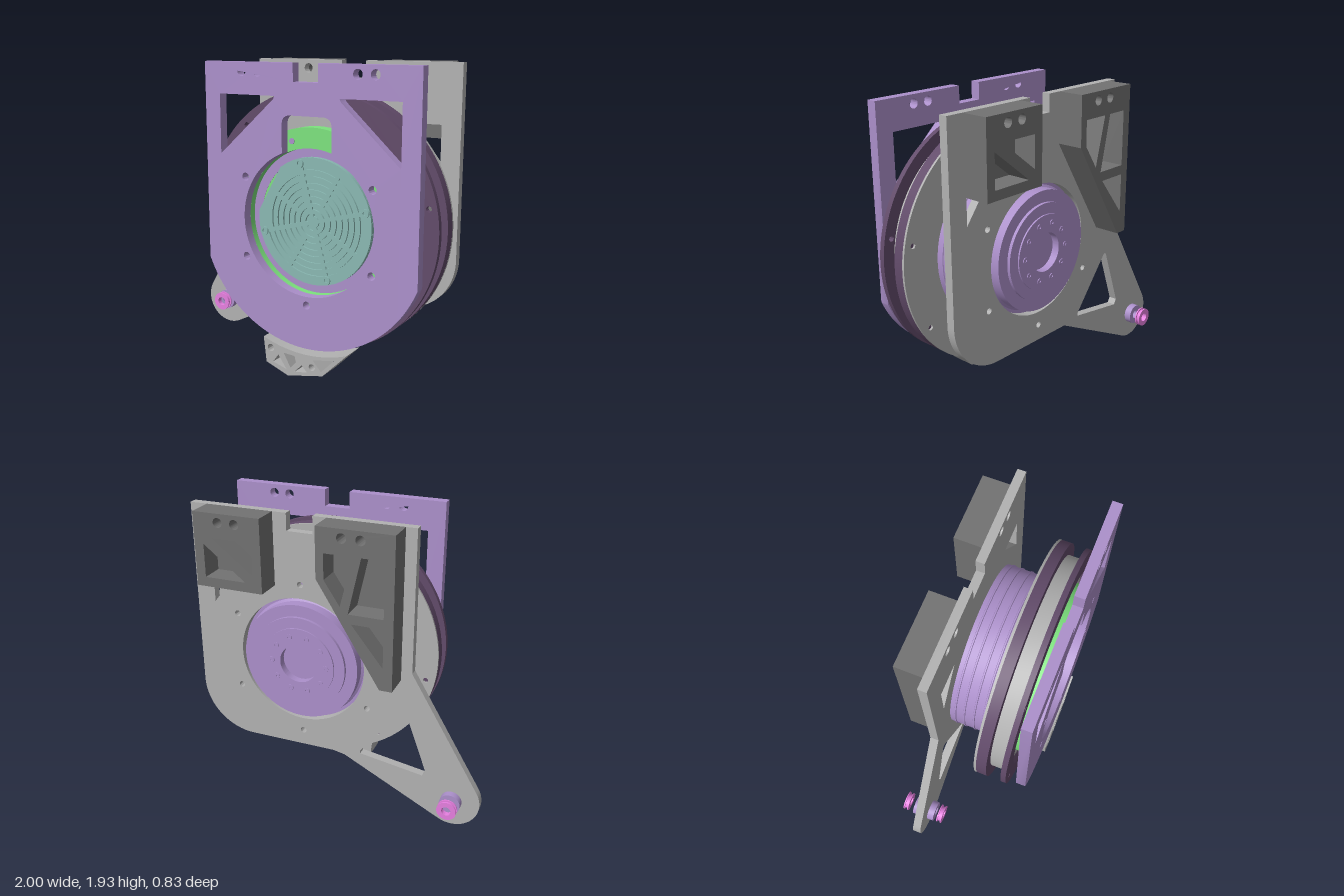
import * as THREE from 'three';
import { toCreasedNormals } from 'three/addons/utils/BufferGeometryUtils.js';

const CX = 0.2, CY = 0.985; // drum axis
const PI = Math.PI, rad = (d) => d * PI / 180;

const mat = (name, color) => {
  const m = new THREE.MeshStandardMaterial({ color });
  m.name = name;
  return m;
};

const circle = (x, y, r) => new THREE.Path().absarc(x, y, r, 0, PI * 2, false);
const poly = (...p) => new THREE.Path(p.map(([x, y]) => new THREE.Vector2(x, y)));
const polar = (r, deg) => [CX + r * Math.cos(rad(deg)), CY + r * Math.sin(rad(deg))];

// Curved slot between two angles
function arcSlot(r, w, a0, a1) {
  const p = new THREE.Path();
  p.absarc(CX, CY, r + w / 2, a0, a1, false);
  p.absarc(CX, CY, r - w / 2, a1, a0, true);
  p.closePath();
  return p;
}

// Right side and notched top edge shared by both large plates
function notchedTop(path) {
  for (const [x, y] of [[0.925, 1.935], [0.28, 1.935], [0.28, 1.825], [0.11, 1.825], [0.11, 1.935], [-0.53, 1.935]]) {
    path.lineTo(x, y);
  }
}

export function createModel() {
  const group = new THREE.Group();
  const purple = mat('purple', 0xac90cb);
  const plum = mat('dark plum', 0x624b6a);
  const grey = mat('grey', 0xb2b2b2);
  const darkGrey = mat('dark grey', 0x727272);
  const green = mat('green', 0x7de37e);
  const teal = mat('teal', 0x8ab9b3);
  const pink = mat('pink', 0xe880e2);

  const add = (name, geo, material) => {
    const m = new THREE.Mesh(geo, material);
    m.name = name;
    group.add(m);
    return m;
  };
  // Flat part between two depths
  const plate = (name, material, shape, holes, z0, z1, seg = 32) => {
    const s = new THREE.Shape(shape.getPoints(seg));
    s.holes = holes;
    const g = new THREE.ExtrudeGeometry(s, { depth: z1 - z0, bevelEnabled: false, curveSegments: seg });
    g.translate(0, 0, z0);
    return add(name, toCreasedNormals(g, 0.5), material);
  };
  // Turned part; profile is [radius, z] running counter-clockwise
  const turned = (name, material, profile, x = CX, y = CY, seg = 96) => {
    const g = new THREE.LatheGeometry(profile.map(([r, z]) => new THREE.Vector2(r, z)), seg);
    g.rotateX(PI / 2);
    g.translate(x, y, 0);
    return add(name, toCreasedNormals(g, 0.5), material);
  };
  const ring = (name, material, ri, ro, z0, z1, x, y, seg) =>
    turned(name, material, [[ri, z0], [ro, z0], [ro, z1], [ri, z1], [ri, z0]], x, y, seg);

  const boltX = [-0.255, -0.14, 0.535, 0.645];
  const topHoles = () => boltX.map((x) => circle(x, 1.88, 0.03));

  // Front plate: flat sides, round bottom, notch at the top
  const a = Math.acos(0.7275 / 0.785);
  const front = new THREE.Path();
  front.absarc(CX, CY, 0.785, PI + a, 2 * PI - a, false);
  notchedTop(front);
  const k = Math.acos(0.17 / 0.45);
  const opening = new THREE.Path();
  opening.absarc(CX, CY, 0.45, PI - k, 2 * PI + k, false);
  opening.lineTo(0.37, 1.57);
  opening.quadraticCurveTo(0.37, 1.63, 0.31, 1.63);
  opening.lineTo(0.09, 1.63);
  opening.quadraticCurveTo(0.03, 1.63, 0.03, 1.57);
  opening.closePath();
  plate('frontPlate', purple, front, [
    opening, ...topHoles(),
    poly([-0.42, 1.74], [-0.02, 1.74], [-0.03, 1.72], [-0.42, 1.37]),
    poly([0.81, 1.74], [0.42, 1.74], [0.43, 1.72], [0.81, 1.37]),
    ...[30, 150, 210, 270, 330].map((d) => circle(...polar(0.505, d), 0.025)),
  ], 0.335, 0.4, 64);

  // Back plate with the side arm
  const back = new THREE.Path();
  back.absarc(-0.82, 0.19, 0.18, rad(149), rad(297), false);
  back.lineTo(-0.06, 0.37);
  back.absarc(0.575, 0.72, 0.35, -PI / 2, 0, false);
  notchedTop(back);
  back.lineTo(-0.53, 1.03);
  back.closePath();
  plate('backPlate', grey, back, [
    circle(CX, CY, 0.42), circle(-0.82, 0.19, 0.035), ...topHoles(),
    poly([-0.64, 0.36], [-0.62, 0.325], [-0.2, 0.39], [-0.2, 0.41], [-0.48, 0.76], [-0.5, 0.75]),
    poly([0.8, 1.56], [0.6, 1.56], [0.8, 1.3]),
    poly([-0.4, 1.56], [-0.2, 1.56], [-0.4, 1.3]),
    ...[0, 60, 120, 180, 240, 300].map((d) => circle(...polar(0.51, d + 30), 0.02)),
  ], -0.245, -0.19, 48);

  // Mounting blocks behind the back plate, hollowed from behind
  const block = (name, outline, bolts, pockets) => {
    const holes = () => bolts.map((x) => circle(x, 1.88, 0.03));
    plate(name, darkGrey, outline, [...holes(), ...pockets], -0.415, -0.265);
    plate(name + 'Floor', darkGrey, outline, holes(), -0.265, -0.245);
  };
  block('shortBlock', poly([0.37, 1.47], [0.81, 1.47], [0.81, 1.935], [0.37, 1.935]), boltX.slice(2), [
    poly([0.43, 1.58], [0.43, 1.78], [0.69, 1.78]),
    poly([0.48, 1.53], [0.75, 1.53], [0.75, 1.74]),
  ]);
  block('tallBlock', poly([-0.46, 0.975], [-0.38, 0.975], [0.02, 1.62], [0.02, 1.935], [-0.46, 1.935]), boltX.slice(0, 2), [
    poly([-0.03, 1.78], [-0.21, 1.78], [-0.13, 1.47], [-0.03, 1.62]),
    poly([-0.26, 1.78], [-0.4, 1.78], [-0.4, 1.43], [-0.18, 1.43]),
    poly([-0.2, 1.37], [-0.4, 1.37], [-0.4, 1.12]),
  ]);

  // Drum with fine ribs and a stepped hub that passes through the back plate
  const profile = [[0, -0.25], [0.125, -0.25], [0.125, -0.3], [0.24, -0.3], [0.24, -0.29],
    [0.31, -0.29], [0.31, -0.27], [0.385, -0.27], [0.385, -0.2], [0.4, -0.19], [0.543, -0.19]];
  for (const z of [-0.155, -0.095, -0.03, 0.03]) {
    profile.push([0.543, z - 0.007], [0.549, z - 0.004], [0.549, z + 0.004], [0.543, z + 0.007]);
  }
  profile.push([0.543, 0.085], [0, 0.085]);
  turned('drum', purple, profile);
  for (let i = 0; i < 10; i++) {
    const [x, y] = polar(0.185, i * 36);
    ring('hubBolt', purple, 0.008, 0.02, -0.305, -0.295, x, y, 16);
  }

  // Flanges and rims around the drum
  const disc = (r) => circle(CX, CY, r);
  plate('flangeFace', grey, disc(0.8),
    [disc(0.54), ...[...Array(8).keys()].map((i) => circle(...polar(0.74, i * 45 + 12), 0.017))], 0.075, 0.09, 96);
  ring('rearRim', plum, 0, 0.8, 0.09, 0.157);
  ring('rimCore', grey, 0, 0.725, 0.157, 0.25);
  plate('frontRim', plum, disc(0.8),
    [disc(0.66), ...[12, 132, 192, 312].map((d) => circle(...polar(0.75, d), 0.017))], 0.253, 0.287, 96);

  // Motor housing rings
  ring('spacerRing', green, 0.45, 0.575, 0.25, 0.335);
  ring('retainingRing', purple, 0.39, 0.45, 0.25, 0.29);
  ring('coverSeat', green, 0, 0.39, 0.25, 0.288);
  const [sx, sy] = polar(0.505, 106);
  ring('spacerScrew', purple, 0, 0.018, 0.335, 0.339, sx, sy, 20);

  // Vented cover, cut flat at the upper left
  const cover = new THREE.Path().absarc(CX, CY, 0.395, rad(175), rad(126 + 360), false);
  const vents = [];
  for (let i = 0; i < 8; i++) {
    const r = 0.045 + i * 0.0405;
    const n = i < 2 ? 4 : 8;
    const gap = 0.026 / r;
    for (let j = 0; j < n; j++) {
      const a0 = 0.26 + j * 2 * PI / n, a1 = a0 + 2 * PI / n;
      const mid = (a0 + a1) / 2;
      if (i === 7 && mid > rad(115) && mid < rad(185)) continue;
      vents.push(arcSlot(r, 0.017, a0 + gap / 2, a1 - gap / 2));
    }
  }
  plate('ventCover', teal, cover, vents, 0.308, 0.32, 20);
  plate('ventCoverBase', teal, cover, [], 0.288, 0.308, 48);
  for (const d of [15, 105, 195, 285]) {
    const [x, y] = polar(0.365, d);
    ring('coverScrew', teal, 0.013, 0.027, 0.315, 0.33, x, y, 24);
  }

  // Lower guard hugging the rim
  const guard = new THREE.Path();
  guard.absarc(CX, CY, 0.82, rad(290.7), rad(247.8), true);
  for (const [x, y] of [[-0.09, 0.06], [0.07, 0], [0.32, 0.05]]) guard.lineTo(x, y);
  guard.closePath();
  plate('lowerGuard', grey, guard, [
    circle(-0.055, 0.16, 0.024), circle(0.245, 0.09, 0.022),
    poly([-0.04, 0.07], [0.06, 0.04], [0, 0.125]),
    poly([0.04, 0.145], [0.09, 0.055], [0.13, 0.1], [0.12, 0.14]),
    poly([0.12, 0.035], [0.21, 0.05], [0.17, 0.09]),
    poly([0.25, 0.14], [0.31, 0.075], [0.4, 0.165]),
  ], 0.25, 0.412);

  // Arm spacer and its two small rollers
  const spool = (name, material, ro, waist, z0, z1, lip) => turned(name, material,
    [[0.03, z0], [ro, z0], [ro, z0 + lip], [waist, z0 + lip], [waist, z1 - lip], [ro, z1 - lip],
      [ro, z1], [0.03, z1], [0.03, z0]], -0.82, 0.19, 32);
  spool('armSpacer', purple, 0.068, 0.06, -0.297, -0.145, 0.045);
  spool('frontRoller', pink, 0.063, 0.052, -0.122, -0.087, 0.008);
  spool('rearRoller', pink, 0.063, 0.052, -0.372, -0.337, 0.008);

  return group;
}
